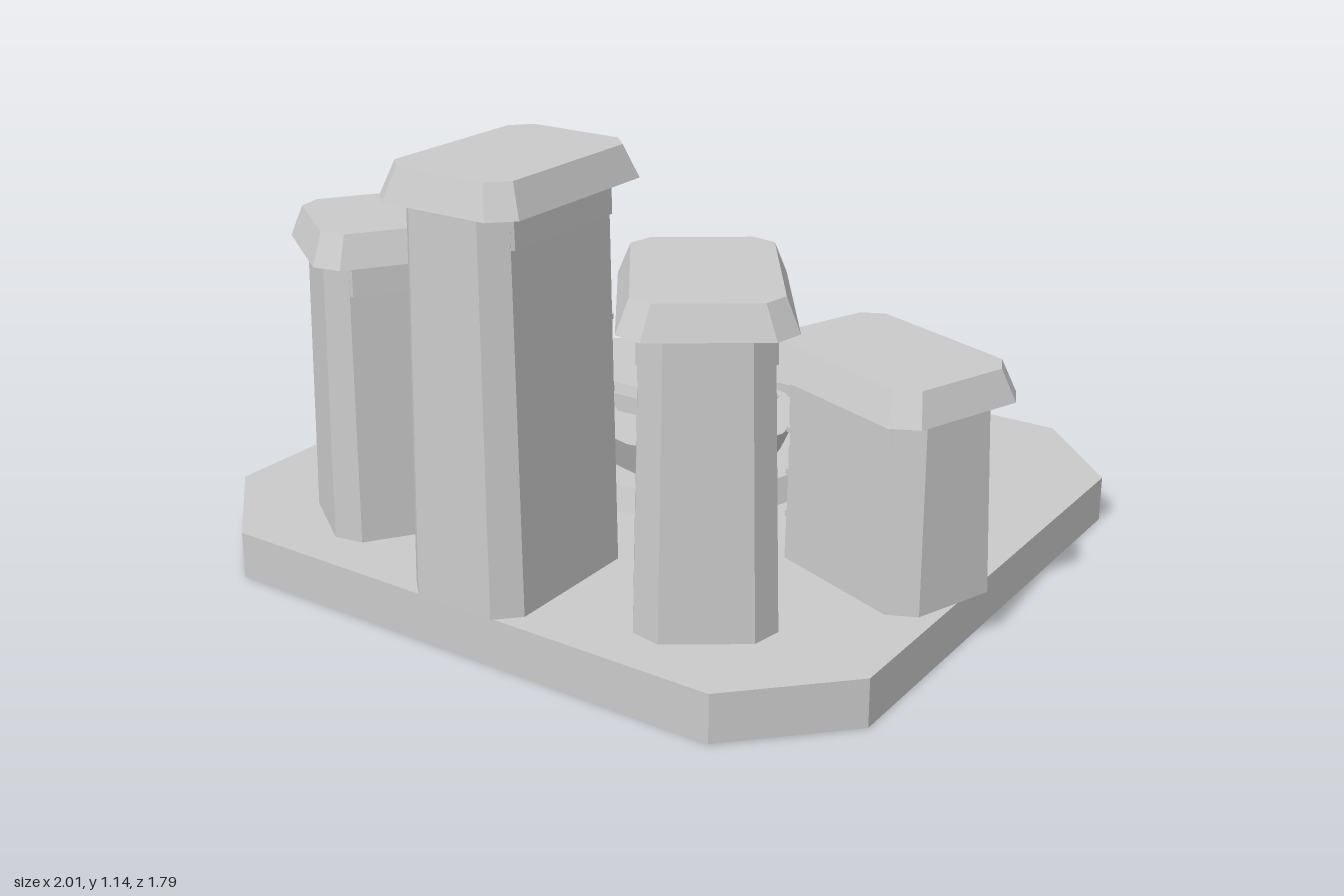
import * as THREE from 'three';

const stone = new THREE.MeshStandardMaterial({ color: 0xcacaca, side: THREE.DoubleSide });
stone.name = 'grey stone';

// Chamfered rectangle at height y, counter-clockwise from above;
// cf / cb are the chamfers at the +z and -z ends
function ring(y, hw, zMin, zMax, cf, cb = cf) {
  return [
    [-hw + cf, zMax], [hw - cf, zMax], [hw, zMax - cf], [hw, zMin + cb],
    [hw - cb, zMin], [-hw + cb, zMin], [-hw, zMin + cb], [-hw, zMax - cf],
  ].map(([x, z]) => new THREE.Vector3(x, y, z));
}

// Flat-faced body through two rings, closed on top and optionally below
function loft(low, top, closedBelow = true) {
  const pts = [];
  const n = low.length;
  for (let i = 0; i < n; i++) {
    const j = (i + 1) % n;
    pts.push(low[i], low[j], top[j], low[i], top[j], top[i]);
  }
  for (let i = 1; i < n - 1; i++) {
    pts.push(top[0], top[i], top[i + 1]);
    if (closedBelow) pts.push(low[0], low[i + 1], low[i]);
  }
  const g = new THREE.BufferGeometry().setFromPoints(pts);
  g.computeVertexNormals();
  return g;
}

function add(parent, name, geometry, x = 0, y = 0, z = 0) {
  const m = new THREE.Mesh(geometry, stone);
  m.name = name;
  m.position.set(x, y, z);
  parent.add(m);
  return m;
}

const FLOOR = 0.12;

// Tapered tower whose -z side faces the middle of the circle
function tower(name, capY, shelfYs) {
  const g = new THREE.Group();
  g.name = name;
  add(g, 'shaft', loft(
    ring(FLOOR, 0.162, -0.213, 0.258, 0.055),
    ring(capY, 0.145, -0.21, 0.245, 0.05),
  ));
  // Shallow band under the cap on both sides and the inner face
  add(g, 'neckBand', loft(
    ring(capY - 0.08, 0.153, -0.216, 0.195, 0.006, 0.055),
    ring(capY, 0.151, -0.216, 0.195, 0.006, 0.055),
  ));
  add(g, 'cap', loft(
    ring(capY, 0.195, -0.262, 0.277, 0.052),
    ring(capY + 0.078, 0.165, -0.232, 0.25, 0.045),
  ));
  // Shelves with rows of small jars
  shelfYs.forEach((y) => {
    add(g, 'shelf', loft(
      ring(y - 0.014, 0.1, -0.25, -0.19, 0.004, 0.015),
      ring(y, 0.1, -0.25, -0.19, 0.004, 0.015),
    ));
    for (let i = 0; i < 4; i++) {
      add(g, 'jar', new THREE.BoxGeometry(0.03, 0.055, 0.028), -0.072 + i * 0.048, y + 0.0275, -0.227);
    }
  });
  return g;
}

// Slab with upright long sides, ends that lean outward and a bevelled top
function table(parent, name, y, hw, hd, z, h1, h2) {
  add(parent, name, loft(
    ring(y, hw - 0.045, -hd, hd, 0.002),
    ring(y + h1, hw, -hd, hd, 0.002),
  ), 0, 0, z);
  add(parent, name + 'Top', loft(
    ring(y + h1, hw - 0.004, -hd + 0.004, hd - 0.004, 0.002),
    ring(y + h1 + h2, hw - 0.01, -hd + 0.01, hd - 0.01, 0.002),
  ), 0, 0, z);
}

export function createModel() {
  const model = new THREE.Group();
  model.name = 'towerCircle';

  // Ground slab with cut corners, a shell open underneath
  add(model, 'baseSlab', loft(
    ring(0, 0.94, -0.9, 0.87, 0.248),
    ring(FLOOR, 0.94, -0.9, 0.87, 0.248),
    false,
  ));

  // Five towers fanned around the dais
  const kinds = [
    { name: 'tallTower', angles: [0], capY: 1.06, shelves: [0.35, 0.53, 0.71] },
    { name: 'middleTower', angles: [-35, 35], capY: 0.83, shelves: [0.26, 0.39, 0.52] },
    { name: 'lowTower', angles: [-70, 70], capY: 0.59, shelves: [0.2, 0.31, 0.42] },
  ];
  for (const k of kinds) {
    for (const deg of k.angles) {
      const a = THREE.MathUtils.degToRad(deg);
      const t = tower(k.name, k.capY, k.shelves);
      t.position.set(0.738 * Math.sin(a), 0, -0.123 + 0.74 * Math.cos(a));
      t.rotation.y = a;
      model.add(t);
    }
  }

  // Twelve-sided dais: sloping step, then a flared drum
  const drum = (name, rTop, rLow, y0, y1) => add(model, name,
    new THREE.CylinderGeometry(rTop, rLow, y1 - y0, 12).toNonIndexed(), 0, (y0 + y1) / 2, -0.097)
    .geometry.computeVertexNormals();
  drum('daisStep', 0.32, 0.341, FLOOR, 0.183);
  drum('daisDrum', 0.287, 0.24, 0.183, 0.285);
  table(model, 'daisTable', 0.285, 0.205, 0.115, -0.1, 0.048, 0.027);

  // Small plinth at the back
  add(model, 'backPlinth', loft(
    ring(FLOOR, 0.305, -0.745, -0.455, 0.07),
    ring(0.195, 0.305, -0.745, -0.455, 0.07),
  ));
  table(model, 'plinthTable', 0.195, 0.141, 0.077, -0.602, 0.035, 0.02);

  return model;
}
